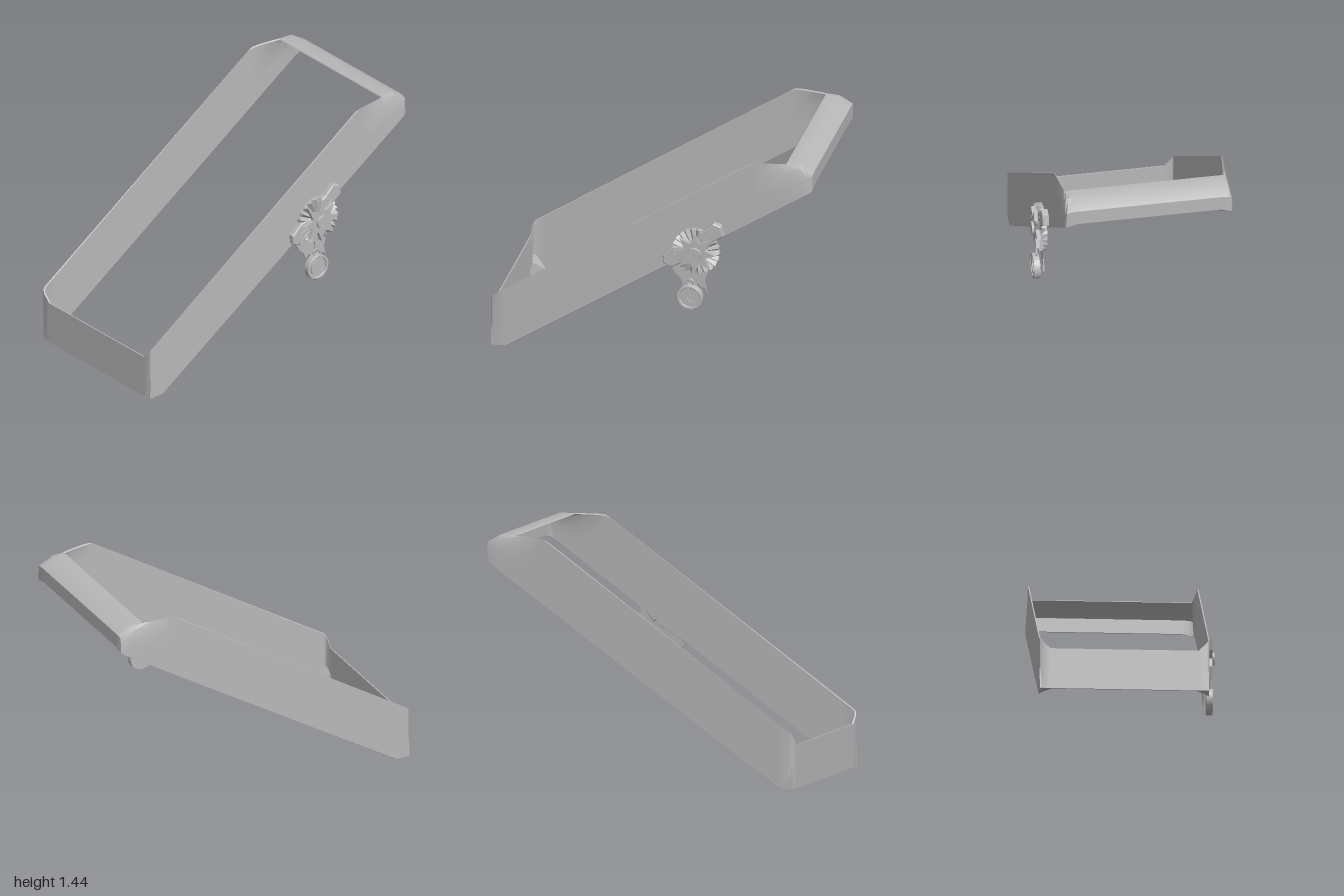
import * as THREE from 'three';
import { toCreasedNormals } from 'three/addons/utils/BufferGeometryUtils.js';
import { ConvexGeometry } from 'three/addons/geometries/ConvexGeometry.js';

const grey = new THREE.MeshStandardMaterial({ color: 0xb8b8b8, side: THREE.DoubleSide });
grey.name = 'grey';
const ZC = -0.04; // centre plane of the band

function add(group, name, geometry, x = 0, y = 0, z = 0) {
  const mesh = new THREE.Mesh(geometry, grey);
  mesh.name = name;
  mesh.position.set(x, y, z);
  group.add(mesh);
  return mesh;
}

const polygon = (pts) => new THREE.Shape(pts.map(([x, y]) => new THREE.Vector2(x, y)));

function plate(shape, depth, bevel = 0) {
  return new THREE.ExtrudeGeometry(shape, {
    depth, bevelEnabled: bevel > 0, bevelSize: bevel, bevelThickness: bevel,
    bevelOffset: -bevel, bevelSegments: 1, curveSegments: 20,
  });
}

// Upright strip of the band: four points from bottom to top at one x and w
const upright = (x, w, bottom, top) =>
  [0, 1, 2, 3].map((i) => [x, bottom + (top - bottom) * i / 3, w]);

// Thin tilted band lofted around a rounded rectangle, with a folded top at the right end
function bandGeometry() {
  const half = [
    upright(-1, 0, 0, 0.265),
    upright(-1, 0.45, 0, 0.265),
    upright(-1, 0.495, 0, 0.31),
    upright(-0.994, 0.509, 0.06, 0.33),
    upright(-0.98, 0.515, 0.08, 0.345),
    upright(-0.91, 0.515, 0.005, 0.392),
    upright(0.61, 0.515, 1.023, 1.422),
    upright(0.64, 0.515, 1.044, 1.437),
    [[0.70, 1.084, 0.515], [0.70, 1.21, 0.515], [0.70, 1.34, 0.515], [0.69, 1.441, 0.51]],
    [[0.84, 1.178, 0.515], [0.84, 1.28, 0.515], [0.84, 1.38, 0.513], [0.79, 1.441, 0.497]],
    [[0.93, 1.238, 0.515], [0.93, 1.34, 0.515], [0.90, 1.42, 0.505], [0.835, 1.441, 0.488]],
    [[0.98, 1.272, 0.515], [0.98, 1.37, 0.512], [0.915, 1.435, 0.495], [0.835, 1.441, 0.482]],
    [[0.996, 1.284, 0.508], [0.996, 1.385, 0.502], [0.92, 1.44, 0.48], [0.835, 1.441, 0.475]],
    [[1, 1.29, 0.49], [1, 1.392, 0.48], [0.92, 1.441, 0.46], [0.835, 1.441, 0.46]],
    [[1, 1.304, 0.44], [1, 1.395, 0.44], [0.92, 1.441, 0.44], [0.835, 1.441, 0.44]],
    [[1, 1.304, 0], [1, 1.395, 0], [0.92, 1.441, 0], [0.835, 1.441, 0]],
  ];
  const mirrored = half.slice(1, -1).reverse().map((s) => s.map(([x, y, w]) => [x, y, -w]));
  const stations = [...half, ...mirrored];
  const pos = [], index = [];
  for (const s of stations) {
    // Outer skin upwards, then inner skin downwards
    const inner = s.map(([x, y, w], i) =>
      [x * 0.993, x > 0.62 && i > 1 ? y - 0.006 : y, w * 0.986]).reverse();
    for (const [x, y, w] of [...s, ...inner]) pos.push(x, y, w + ZC);
  }
  const n = stations.length, m = 8;
  for (let i = 0; i < n; i++) {
    for (let j = 0; j < m; j++) {
      const k = (i + 1) % n, l = (j + 1) % m;
      const a = i * m + j, b = k * m + j, c = k * m + l, d = i * m + l;
      index.push(a, b, c, a, c, d);
    }
  }
  const geometry = new THREE.BufferGeometry();
  geometry.setAttribute('position', new THREE.Float32BufferAttribute(pos, 3));
  geometry.setIndex(index);
  return toCreasedNormals(geometry, 0.6);
}

// Disc whose front rim zigzags into radial pleats
function pleatGeometry(radius, depth, folds) {
  const sides = folds * 2;
  const g = new THREE.CylinderGeometry(radius, radius, depth, sides).rotateX(Math.PI / 2);
  const p = g.attributes.position;
  for (let i = 0; i < p.count; i++) {
    const x = p.getX(i), y = p.getY(i);
    if (Math.hypot(x, y) < 0.01) continue;
    const step = Math.round((Math.atan2(y, x) / (2 * Math.PI)) * sides);
    if (step % 2 !== 0) {
      p.setXY(i, x * 0.965, y * 0.965);
      if (p.getZ(i) > 0) p.setZ(i, -depth * 0.25);
    }
  }
  const flat = g.toNonIndexed();
  flat.computeVertexNormals();
  return flat;
}

export function createModel() {
  const model = new THREE.Group();
  add(model, 'band', bandGeometry());

  // Folded gussets in the two lower corners
  for (const side of [1, -1]) {
    const corners = [[-1, 0, 0.51], [-0.905, 0.008, 0.514], [-1, 0.005, 0.42],
      [-0.985, 0.095, 0.435], [-0.995, 0.13, 0.512]];
    add(model, 'cornerGusset', new ConvexGeometry(
      corners.map(([x, y, w]) => new THREE.Vector3(x, y, ZC + side * w))));
  }

  // Ribbon tails hanging behind the rosette, with notched ends
  const ornament = new THREE.Group();
  ornament.name = 'ornament';
  model.add(ornament);
  add(ornament, 'leftTail', plate(polygon([[0.22, 0.78], [0.125, 0.685], [0.155, 0.635],
    [0.19, 0.60], [0.20, 0.565], [0.23, 0.585], [0.25, 0.55], [0.29, 0.60], [0.31, 0.75]]), 0.008),
  0, 0, 0.478);
  add(ornament, 'rightTail', plate(polygon([[0.25, 0.76], [0.27, 0.64], [0.275, 0.565],
    [0.30, 0.59], [0.32, 0.56], [0.335, 0.57], [0.355, 0.53], [0.338, 0.61], [0.365, 0.69],
    [0.34, 0.78]]), 0.008), 0, 0, 0.486);

  // Bow loops to either side of the rosette
  add(ornament, 'upperLoop', plate(polygon([[0.27, 0.85], [0.31, 0.94], [0.335, 0.955],
    [0.395, 1.013], [0.445, 0.997], [0.458, 0.935], [0.395, 0.89], [0.33, 0.80]]), 0.032, 0.006),
  0, 0, 0.478);
  add(ornament, 'lowerLoop', plate(polygon([[0.25, 0.85], [0.14, 0.825], [0.08, 0.765],
    [0.083, 0.71], [0.14, 0.688], [0.21, 0.735], [0.31, 0.79]]), 0.028, 0.006), 0, 0, 0.482);
  add(ornament, 'upperCrease', new THREE.BoxGeometry(0.035, 0.006, 0.006), 0.36, 0.935, 0.517)
    .rotation.z = 0.5;
  add(ornament, 'lowerCrease', new THREE.BoxGeometry(0.05, 0.006, 0.006), 0.145, 0.75, 0.517)
    .rotation.z = 0.5;

  // Pleated rosette, star and button
  const cx = 0.285, cy = 0.81;
  add(ornament, 'pleatedRosette', pleatGeometry(0.148, 0.038, 22), cx, cy, 0.499);
  const star = [];
  for (let i = 0; i < 16; i++) {
    const a = i * Math.PI / 8 + Math.PI / 2, r = i % 2 ? 0.07 : 0.13;
    star.push([Math.cos(a) * r, Math.sin(a) * r]);
  }
  add(ornament, 'star', plate(polygon(star), 0.024), cx, cy, 0.517);
  add(ornament, 'button', toCreasedNormals(
    new THREE.CylinderGeometry(0.04, 0.043, 0.018, 24).rotateX(Math.PI / 2), 0.6), cx, cy, 0.547);

  // Round charm: disc, raised rim, crescent and hanging ring
  const charm = new THREE.Group();
  charm.name = 'charm';
  charm.position.set(0.255, 0.51, 0.505);
  ornament.add(charm);
  add(charm, 'charmDisc', toCreasedNormals(
    new THREE.CylinderGeometry(0.079, 0.079, 0.028, 32).rotateX(Math.PI / 2), 0.6), 0, 0, 0.014);
  const rim = new THREE.Shape().absarc(0, 0, 0.08, 0, Math.PI * 2);
  rim.holes.push(new THREE.Path().absarc(0, 0, 0.062, 0, Math.PI * 2, true));
  add(charm, 'charmRim', toCreasedNormals(plate(rim, 0.034, 0.003), 0.6), 0, 0, 0.003);
  const moon = new THREE.Shape();
  moon.absarc(0, 0, 0.053, 1.75, 6.1, false);
  moon.quadraticCurveTo(0.015, -0.045, -0.012, -0.012);
  moon.quadraticCurveTo(-0.03, 0.015, Math.cos(1.75) * 0.053, Math.sin(1.75) * 0.053);
  add(charm, 'crescent', plate(moon, 0.008), 0, 0, 0.028);
  add(charm, 'hangingRing', new THREE.TorusGeometry(0.02, 0.005, 8, 20), 0, 0.095, 0.015);
  return model;
}
